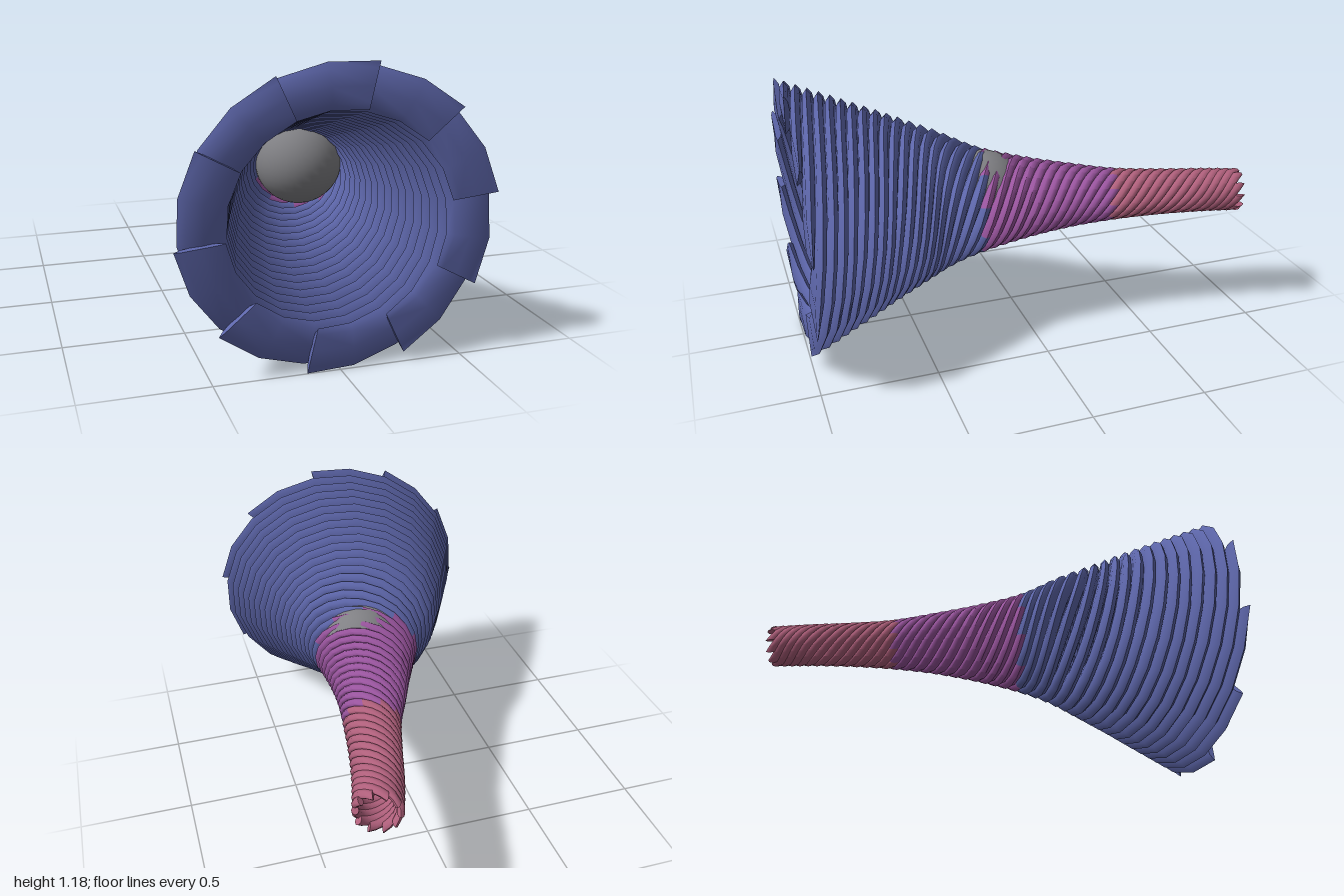
import * as THREE from 'three';
import { toCreasedNormals } from 'three/addons/utils/BufferGeometryUtils.js';

const STRANDS = 10, TURNS = 4.4, SIDES = 8, STEPS_PER_TURN = 20;
const CENTRE_Y = 0.602;

// Horn profile from mouth to tail: [centre x, outer radius, z]
const profile = new THREE.CatmullRomCurve3([
  [0, 0.602, 1], [0.003, 0.515, 0.8], [0.012, 0.425, 0.6], [0.035, 0.335, 0.4],
  [0.083, 0.245, 0.2], [0.125, 0.19, 0], [0.17, 0.15, -0.2], [0.225, 0.12, -0.4],
  [0.27, 0.106, -0.6], [0.318, 0.1, -0.8], [0.366, 0.096, -0.96],
].map(p => new THREE.Vector3(...p)));

// One piece of a helical blade: a radially flattened oval swept around the horn
function bladeGeometry(startAngle, u0, u1) {
  const pos = [], index = [];
  const steps = Math.max(2, Math.round((u1 - u0) * TURNS * STEPS_PER_TURN));
  const up = new THREE.Vector3(0, 1, 0);
  for (let k = 0; k <= steps; k++) {
    const u = u0 + (u1 - u0) * k / steps;
    const p = profile.getPoint(u);
    const d = profile.getTangent(u);
    const axis = new THREE.Vector3(-d.x, 0, -d.z).normalize();
    const side = up.clone().cross(axis);
    const angle = startAngle + u * TURNS * Math.PI * 2;
    for (let j = 0; j < SIDES; j++) {
      const f = j / SIDES * Math.PI * 2;
      const r = p.y * (0.85 + 0.15 * Math.cos(f));
      const along = 0.026 * Math.sin(f);
      const sx = r * 1.06 * Math.cos(angle);
      pos.push(
        p.x + side.x * sx + axis.x * along,
        CENTRE_Y + r * Math.sin(angle),
        Math.min(1, p.z + side.z * sx + axis.z * along));
    }
  }
  for (let k = 0; k < steps; k++) {
    for (let j = 0; j < SIDES; j++) {
      const a = k * SIDES + j, b = k * SIDES + (j + 1) % SIDES;
      index.push(a, a + SIDES, b, b, a + SIDES, b + SIDES);
    }
  }
  // End caps
  const last = steps * SIDES;
  for (let j = 1; j < SIDES - 1; j++) {
    if (u0 === 0) index.push(0, j, j + 1);
    if (u1 === 1) index.push(last, last + j + 1, last + j);
  }
  const geo = new THREE.BufferGeometry();
  geo.setAttribute('position', new THREE.Float32BufferAttribute(pos, 3));
  geo.setIndex(index);
  return toCreasedNormals(geo, 0.85);
}

function material(name, color) {
  const m = new THREE.MeshStandardMaterial({ color });
  m.name = name;
  return m;
}

export function createModel() {
  const model = new THREE.Group();
  model.name = 'ribbedHorn';

  // Colour zones along the horn
  const zones = [
    ['bell', 0, 0.415, material('blue', 0x5d66aa)],
    ['throat', 0.415, 0.7, material('purple', 0x9a559f)],
    ['tail', 0.7, 1, material('rose', 0xb0607c)],
  ];
  for (const [name, u0, u1, mat] of zones) {
    const zone = new THREE.Group();
    zone.name = name;
    for (let i = 0; i < STRANDS; i++) {
      const start = (78 + i * 360 / STRANDS) * Math.PI / 180;
      const blade = new THREE.Mesh(bladeGeometry(start, u0, u1), mat);
      blade.name = name + 'Blade';
      zone.add(blade);
    }
    model.add(zone);
  }

  // Ball lodged in the throat
  const ball = new THREE.Mesh(new THREE.SphereGeometry(0.195, 32, 20), material('grey', 0x808084));
  ball.name = 'ball';
  ball.position.set(0.1, 0.635, 0.17);
  model.add(ball);
  return model;
}
